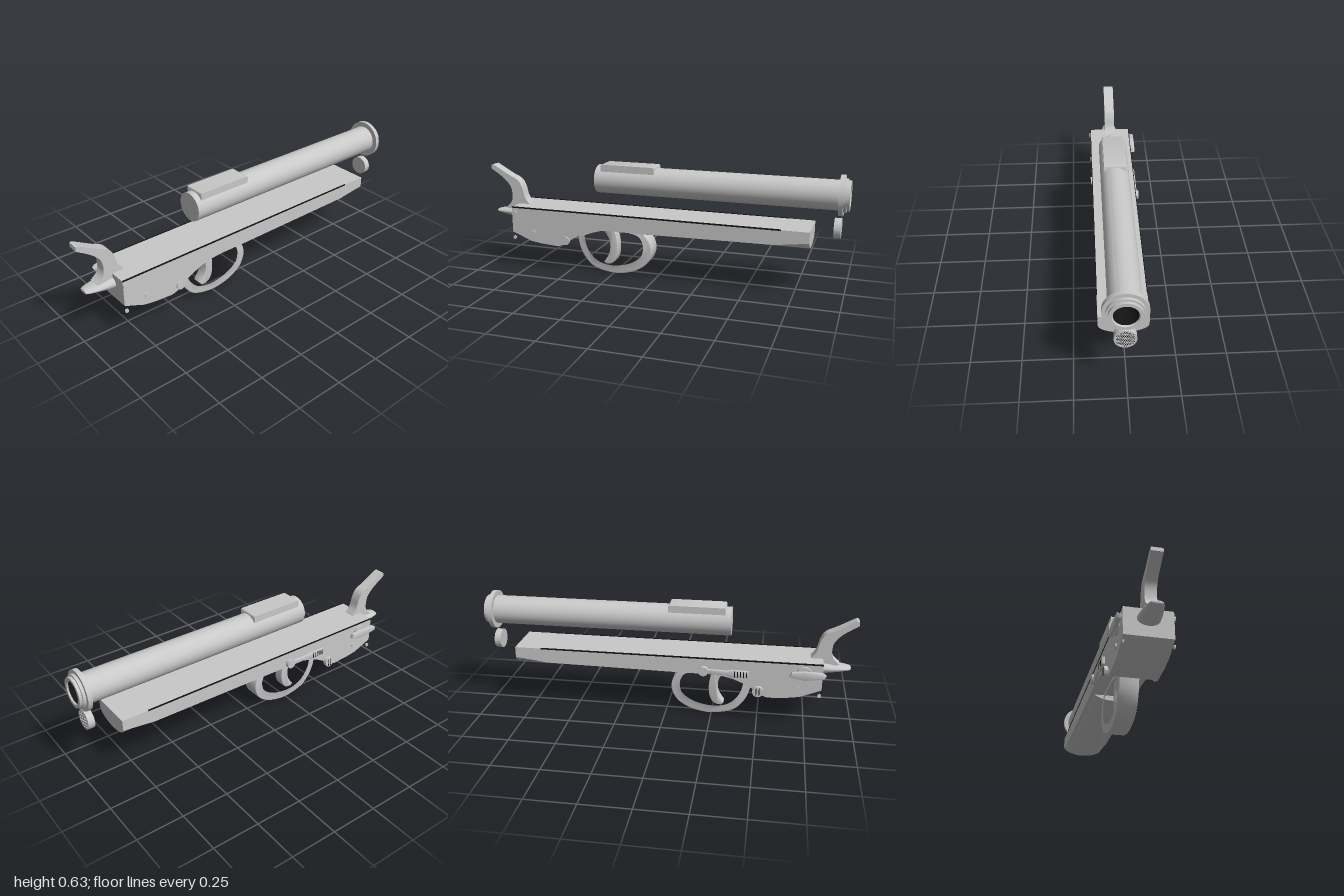
import * as THREE from 'three';
import { toCreasedNormals } from 'three/addons/utils/BufferGeometryUtils.js';

const CX = 0.011; // centre plane of the body

export function createModel() {
  const group = new THREE.Group();
  const metal = new THREE.MeshStandardMaterial({ color: 0xc8c8c8 });
  metal.name = 'light grey metal';
  const dark = new THREE.MeshStandardMaterial({ color: 0x141414 });
  dark.name = 'black';

  const add = (name, geo, mat = metal) => {
    const mesh = new THREE.Mesh(toCreasedNormals(geo, 0.6), mat);
    mesh.name = name;
    group.add(mesh);
  };
  const vecs = (pts) => pts.map(([a, b]) => new THREE.Vector2(a, b));
  const smooth = (pts, n) => new THREE.SplineCurve(vecs(pts)).getPoints(n);

  // Side profile in (z, y), extruded across x and centred on x = cx
  const slab = (name, shape, width, cx = CX, bevel = 0) => {
    const depth = width - 2 * bevel;
    const geo = new THREE.ExtrudeGeometry(shape, {
      depth, bevelEnabled: bevel > 0, bevelSize: bevel, bevelThickness: bevel,
      bevelOffset: -bevel, bevelSegments: 2, curveSegments: 10,
    });
    geo.translate(0, 0, -depth / 2).rotateY(-Math.PI / 2).translate(cx, 0, 0);
    add(name, geo);
  };
  // Disc whose axis runs across the body
  const pin = (name, x, y, z, r, width) =>
    add(name, new THREE.CylinderGeometry(r, r, width, 24).rotateZ(Math.PI / 2).translate(x, y, z));
  // Turned part along z
  const turned = (name, pts, y, mat) =>
    add(name, new THREE.LatheGeometry(vecs(pts), 48).rotateX(Math.PI / 2).translate(CX, y, 0), mat);

  // Receiver and flat-topped fore-end
  slab('receiver', new THREE.Shape(vecs([
    [0.83, 0.352], [0.83, 0.21], [0.72, 0.165], [0.65, 0.154], [0.553, 0.148], [0.516, 0.16],
    [0.47, 0.195], [0.425, 0.22], [0.37, 0.243], [0.313, 0.257], [0.25, 0.263],
    [0.08, 0.263], [-0.65, 0.272], [-0.823, 0.295], [-0.823, 0.352],
  ])), 0.238);

  // Rounded underside of the fore-end
  const belly = new THREE.CylinderGeometry(1, 1, 0.903, 40, 1, false, -Math.PI / 2, Math.PI);
  belly.rotateX(Math.PI / 2);
  const bp = belly.attributes.position;
  for (let i = 0; i < bp.count; i++) {
    const t = 0.5 - bp.getZ(i) / 0.903;
    bp.setXYZ(i, CX + bp.getX(i) * 0.118, 0.3 + bp.getY(i) * (0.065 - 0.015 * t), 0.08 - 0.903 * t);
  }
  add('foreEndUnderside', belly);

  // Thin black strips along both top edges
  for (const x of [-0.1075, 0.1295]) {
    add('edgeStrip', new THREE.BoxGeometry(0.003, 0.008, 1.51).translate(x, 0.352, 0.075), dark);
  }

  // Barrel with muzzle flange, and its black bore
  turned('barrel', [
    [0.056, -0.992], [0.06, -1], [0.077, -1], [0.077, -0.985], [0.086, -0.985], [0.086, -0.97],
    [0.104, -0.97], [0.104, -0.947], [0.077, -0.947], [0.077, 0.345], [0, 0.345],
  ], 0.525);
  turned('bore', [[0, -0.8], [0.056, -0.8], [0.056, -0.992]], 0.525, dark);

  // Raised block on top of the barrel, rounded at the ends
  const block = new THREE.Shape();
  block.moveTo(0.313, 0.575);
  block.lineTo(0.313, 0.603);
  block.quadraticCurveTo(0.313, 0.613, 0.303, 0.613);
  block.lineTo(0.021, 0.613);
  block.quadraticCurveTo(0.011, 0.613, 0.011, 0.603);
  block.lineTo(0.011, 0.575);
  slab('barrelBlock', block, 0.116);

  // Round plug below the muzzle, with a perforated face plate over a black disc
  turned('plug', [[0, -0.96], [0.052, -0.96], [0.052, -0.93], [0, -0.93]], 0.354);
  const plate = new THREE.Shape().absarc(0, 0, 0.052, 0, Math.PI * 2);
  for (let i = -5; i <= 5; i++) {
    for (let j = -5; j <= 5; j++) {
      const x = (i + (j & 1 ? 0.5 : 0)) * 0.0095, y = j * 0.0085;
      if (Math.hypot(x, y) > 0.043) continue;
      plate.holes.push(new THREE.Path().absarc(x, y, 0.0034, 0, Math.PI * 2));
    }
  }
  add('plugGrille', new THREE.ExtrudeGeometry(plate, { depth: 0.005, bevelEnabled: false, curveSegments: 16 })
    .translate(CX, 0.354, -0.965));
  add('grilleBacking', new THREE.CircleGeometry(0.049, 32).rotateY(Math.PI).translate(CX, 0.354, -0.9635), dark);

  // Trigger guard
  const guard = new THREE.Shape(smooth([
    [0.465, 0.215], [0.45, 0.135], [0.417, 0.072], [0.36, 0.023], [0.25, 0], [0.14, 0.018],
    [0.062, 0.066], [0.03, 0.13], [0.036, 0.19], [0.07, 0.238], [0.1, 0.263],
  ], 50));
  guard.lineTo(0.3, 0.265);
  guard.lineTo(0.43, 0.225);
  guard.holes.push(new THREE.Path(smooth([
    [0.428, 0.205], [0.414, 0.14], [0.38, 0.086], [0.33, 0.051], [0.25, 0.039], [0.155, 0.059],
    [0.089, 0.102], [0.07, 0.15], [0.075, 0.195], [0.105, 0.233], [0.19, 0.25], [0.31, 0.246],
    [0.4, 0.22], [0.428, 0.205],
  ], 50)));
  slab('triggerGuard', guard, 0.1, CX, 0.006);

  // Trigger
  slab('trigger', new THREE.Shape([
    ...smooth([[0.325, 0.25], [0.288, 0.2], [0.277, 0.15], [0.286, 0.1], [0.315, 0.055]], 16),
    ...smooth([[0.305, 0.043], [0.275, 0.046], [0.25, 0.065], [0.234, 0.11], [0.234, 0.18],
      [0.255, 0.258]], 18),
  ]), 0.06, CX, 0.004);

  // Hammer with curved thumb spur and a flared foot
  slab('hammer', new THREE.Shape([
    ...smooth([[1, 0.545], [0.925, 0.495], [0.882, 0.447], [0.873, 0.39], [0.885, 0.352],
      [0.918, 0.322]], 24),
    ...vecs([[0.83, 0.305], [0.765, 0.345]]),
    ...smooth([[0.768, 0.353], [0.795, 0.39], [0.81, 0.445], [0.835, 0.487], [0.89, 0.515],
      [0.985, 0.568]], 20),
    ...vecs([[0.998, 0.566]]),
  ]), 0.058);

  // Tapering spur at the rear, flattening towards its tip
  const spur = new THREE.LatheGeometry(vecs([
    [0.95, 0.8], [1, 0.83], [0.96, 0.87], [0.83, 0.92], [0.66, 0.96], [0.5, 0.976], [0, 0.98],
  ]), 40);
  spur.rotateX(Math.PI / 2);
  const sp = spur.attributes.position;
  for (let i = 0; i < sp.count; i++) {
    const flat = 0.034 - 0.018 * Math.max(0, (sp.getZ(i) - 0.83) / 0.15);
    sp.setXY(i, CX + sp.getX(i) * 0.055, 0.299 + sp.getY(i) * flat);
  }
  add('rearSpur', spur);

  // Screws and pins on both sides
  pin('screw', 0.131, 0.32, 0.815, 0.015, 0.012);
  pin('screw', 0.13, 0.215, 0.702, 0.014, 0.012);
  pin('pivotScrew', 0.13, 0.185, 0.505, 0.024, 0.016);
  pin('screw', -0.109, 0.215, 0.702, 0.014, 0.01);
  for (const x of [-0.106, 0.128]) pin('looseStud', x, 0.176, 0.82, 0.01, 0.008);

  // Slotted button
  pin('button', -0.116, 0.185, 0.5, 0.029, 0.022);
  for (const dz of [-0.008, 0.008]) {
    add('buttonSlot', new THREE.BoxGeometry(0.002, 0.044, 0.004).translate(-0.127, 0.185, 0.5 + dz), dark);
  }

  // Long catch lever with pivot and black ribs
  slab('catchLever', new THREE.Shape(vecs([
    [0.2, 0.268], [0.2, 0.296], [0.33, 0.292], [0.36, 0.298], [0.45, 0.296], [0.45, 0.257],
    [0.36, 0.257], [0.33, 0.268],
  ])), 0.016, -0.114, 0.003);
  pin('catchPivot', -0.118, 0.284, 0.21, 0.026, 0.022);
  for (let i = 0; i < 5; i++) {
    add('catchRib', new THREE.BoxGeometry(0.004, 0.032, 0.005).translate(-0.121, 0.277, 0.375 + i * 0.016), dark);
  }

  // Rear selector: round base with a tapered thumb piece
  pin('selectorBase', -0.114, 0.299, 0.735, 0.04, 0.018);
  slab('selectorLever', new THREE.Shape(vecs([
    [0.66, 0.285], [0.67, 0.31], [0.73, 0.32], [0.83, 0.315], [0.847, 0.303], [0.84, 0.285],
    [0.74, 0.27],
  ])), 0.024, -0.126, 0.005);

  return group;
}
